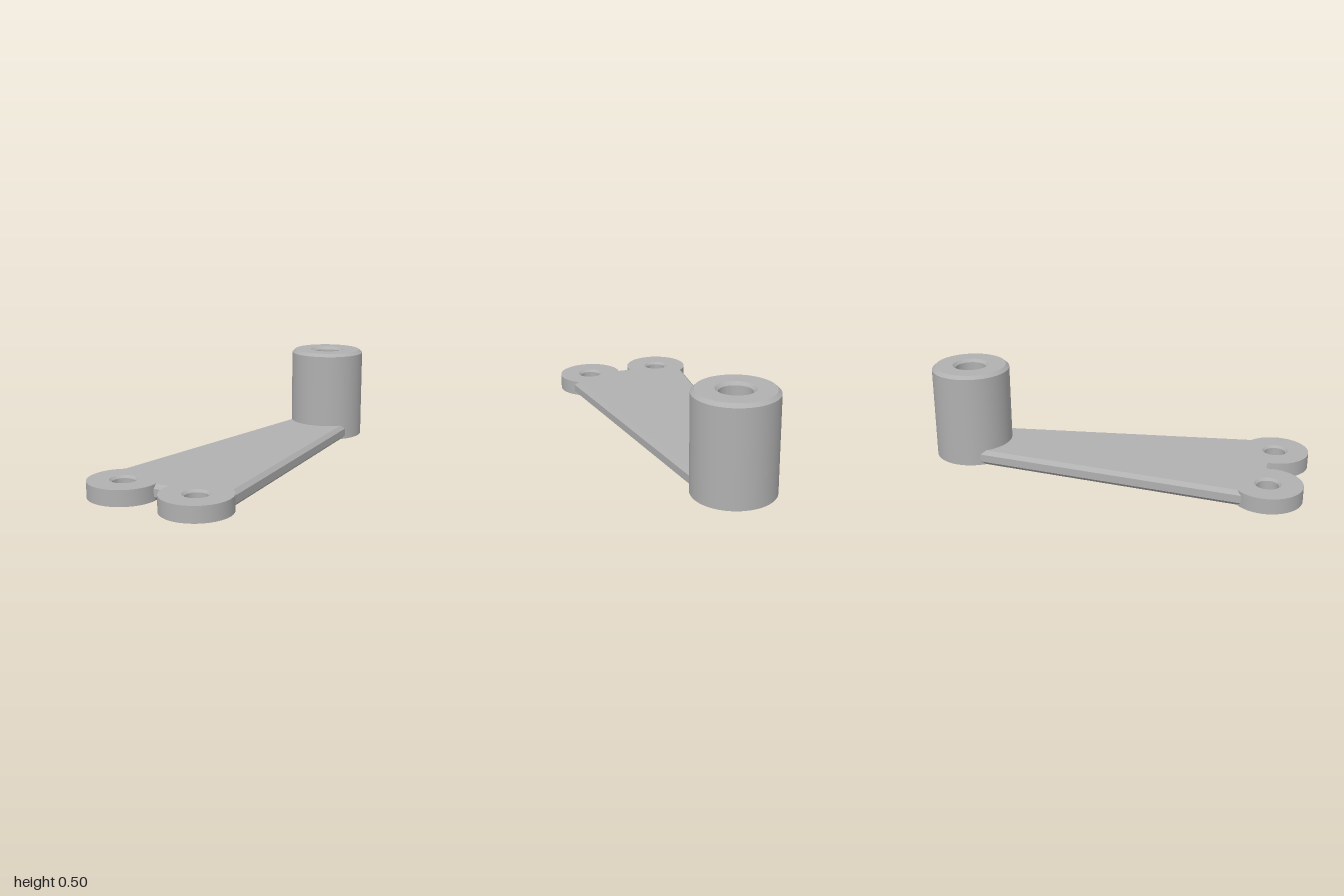
import * as THREE from 'three';
import { toCreasedNormals } from 'three/addons/utils/BufferGeometryUtils.js';

const metal = new THREE.MeshStandardMaterial({ color: 0xb0b0b0 });
metal.name = 'grey metal';

const THICK = 0.08, CHAMFER = 0.02;
const EAR = { x: 0.209, z: 0.826, r: 0.174 };
const POST = { z: -0.795, r: 0.205, h: 0.5 };

// Solid of revolution from a closed [radius, height] profile, outer side rising
function turned(name, profile, x, z) {
  const points = [...profile, profile[0]].map(([r, y]) => new THREE.Vector2(r, y));
  const geometry = toCreasedNormals(new THREE.LatheGeometry(points, 72), 0.5);
  const mesh = new THREE.Mesh(geometry, metal);
  mesh.name = name;
  mesh.position.set(x, 0, z);
  return mesh;
}

// Tapered arm with chamfered edges, cut back around the ear holes
function armPlate() {
  const half = [[0.178, -0.70], [0.341, 0.735]];
  for (let i = 0; i <= 12; i++) {
    const a = -Math.PI / 4 - (i / 12) * Math.PI * 0.75;
    half.push([EAR.x + 0.12 * Math.cos(a), EAR.z + 0.12 * Math.sin(a)]);
  }
  half[half.length - 1][1] = 0.822;
  const outline = [...half, ...half.map(([x, z]) => [-x, z]).reverse()];
  const shape = new THREE.Shape(outline.map(([x, z]) => new THREE.Vector2(x, -z)));
  const geometry = new THREE.ExtrudeGeometry(shape, {
    depth: THICK - 2 * CHAMFER, bevelEnabled: true, bevelSegments: 1,
    bevelThickness: CHAMFER, bevelSize: CHAMFER, bevelOffset: -CHAMFER,
  });
  geometry.rotateX(-Math.PI / 2).translate(0, CHAMFER, 0);
  const mesh = new THREE.Mesh(geometry, metal);
  mesh.name = 'armPlate';
  return mesh;
}

export function createModel() {
  const model = new THREE.Group();
  model.name = 'leverArm';
  model.add(armPlate());

  // Upright post with a stepped, chamfered bore
  model.add(turned('post', [
    [0.065, 0], [POST.r, 0], [POST.r, POST.h - 0.017], [POST.r - 0.018, POST.h],
    [0.095, POST.h], [0.08, POST.h - 0.015], [0.08, THICK], [0.052, THICK], [0.052, 0.013],
  ], 0, POST.z));

  // Pair of mounting ears with countersunk holes
  for (const side of [1, -1]) {
    model.add(turned(side > 0 ? 'leftEar' : 'rightEar', [
      [0.067, 0], [EAR.r, 0], [EAR.r, THICK],
      [0.067, THICK], [0.055, THICK - 0.012], [0.055, 0.012],
    ], side * EAR.x, EAR.z));
  }
  return model;
}
